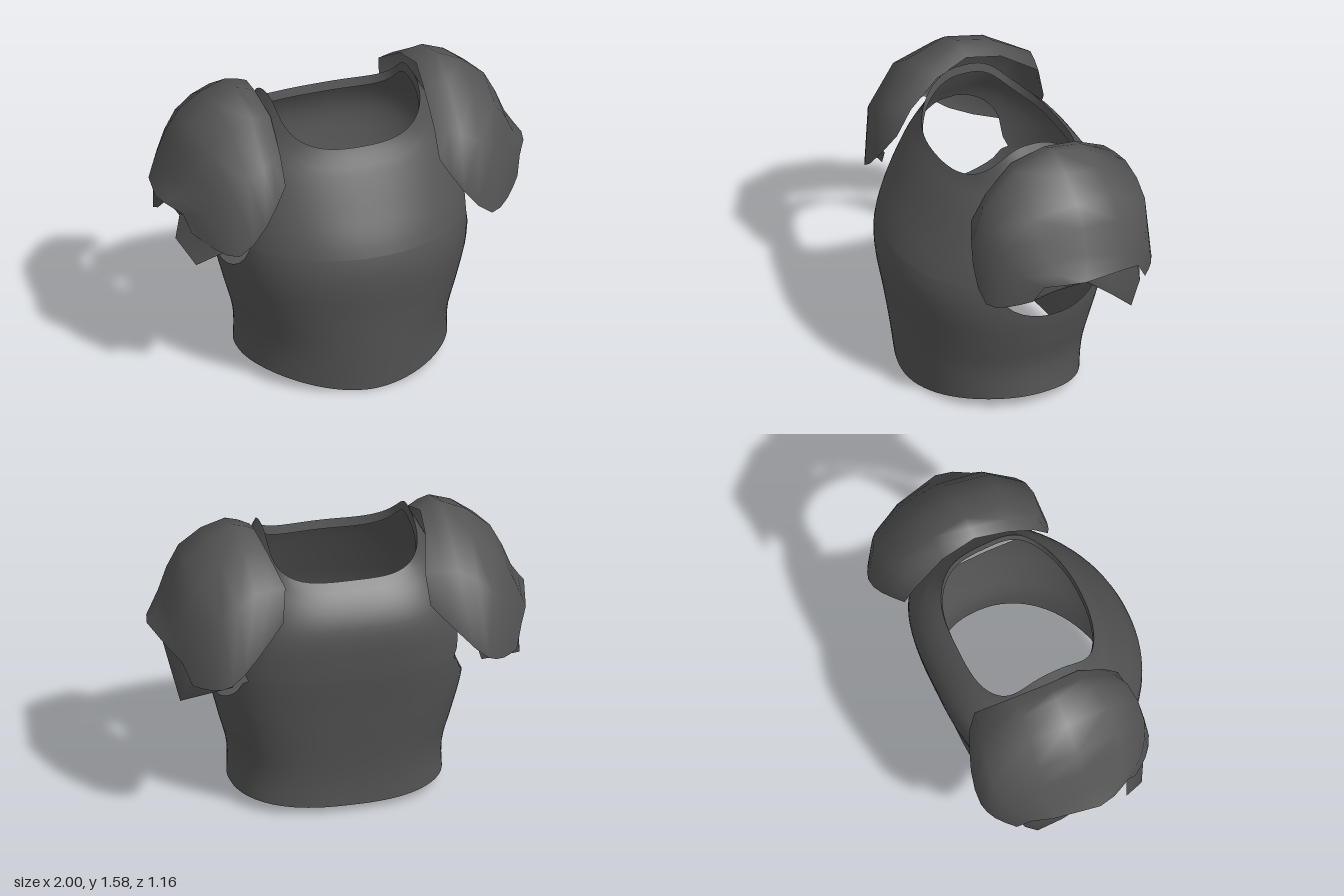
import * as THREE from 'three';

const steel = new THREE.MeshStandardMaterial({ color: 0x555555, side: THREE.DoubleSide });
steel.name = 'darkSteel';

// Skin between rows of [x, y, z] points
function loft(name, rows) {
  const n = rows[0].length, index = [];
  for (let i = 0; i < rows.length - 1; i++) {
    for (let j = 0; j < n - 1; j++) {
      const a = i * n + j, b = a + 1, c = a + n, d = c + 1;
      index.push(a, b, d, a, d, c);
    }
  }
  const geo = new THREE.BufferGeometry();
  geo.setAttribute('position', new THREE.Float32BufferAttribute(rows.flat(2), 3));
  geo.setIndex(index);
  geo.computeVertexNormals();
  const mesh = new THREE.Mesh(geo, steel);
  mesh.name = name;
  return mesh;
}

// Smooth function through a list of [y, value]
function profile(table) {
  const curve = new THREE.CubicInterpolant(table.map(t => t[0]), table.map(t => t[1]), 1);
  return y => curve.evaluate(y)[0];
}

// Torso by height: half width, front depth, back depth, and corner roundness front and back
const halfWidth = profile([[0, 0.56], [0.25, 0.555], [0.45, 0.605], [0.65, 0.65], [0.95, 0.65], [1.2, 0.58], [1.34, 0.5], [1.45, 0.44], [1.55, 0.385]]);
const frontDepth = profile([[0, 0.495], [0.4, 0.545], [0.75, 0.585], [0.85, 0.56], [1.05, 0.47], [1.25, 0.37], [1.34, 0.32], [1.55, 0.3]]);
const backDepth = profile([[0, 0.375], [0.17, 0.385], [0.6, 0.46], [0.9, 0.515], [1.12, 0.52], [1.28, 0.44], [1.36, 0.37], [1.55, 0.35]]);
const frontCorner = profile([[0, 1.06], [0.4, 0.98], [0.75, 0.97], [1.55, 0.95]]);
const backCorner = profile([[0, 0.78], [0.4, 0.74], [0.8, 0.7], [1.55, 0.7]]);

function torsoPoint(a, y) {
  const c = Math.cos(a), s = Math.sin(a), front = s > 0;
  const p = (front ? frontCorner : backCorner)(y);
  const depth = (front ? frontDepth : backDepth)(y);
  const x = Math.sign(c) * Math.abs(c) ** p * halfWidth(y);
  return [x, y, Math.sign(s) * Math.abs(s) ** p * depth];
}

const armholeY = 0.82;
const hem = a => 0.08 - 0.075 * Math.max(0, Math.sin(a)) ** 3 - 0.04 * Math.max(0, -Math.sin(a)) ** 2;
const neck = a => 1.34 + 0.2 * Math.abs(Math.cos(a)) ** 3.2;
// How far the armhole is open at this angle, 0 to 1
function opening(a) {
  const z = torsoPoint(a, armholeY)[2];
  return Math.sqrt(Math.max(0, 1 - ((z + 0.05) / 0.3) ** 2));
}

function torsoShell(name, bottom, top, steps) {
  const rows = [];
  for (let i = 0; i <= steps; i++) {
    const row = [];
    for (let j = 0; j <= 80; j++) {
      const a = j / 80 * Math.PI * 2, t = i / steps;
      row.push(torsoPoint(a, bottom(a) * (1 - t) + top(a) * t));
    }
    rows.push(row);
  }
  return loft(name, rows);
}

// Shoulder plate sections from the front edge over the top to the back edge
const shoulderSections = [
  [[0.42, 1.19, 0.33], [0.54, 1.0, 0.38], [0.69, 0.85, 0.38], [0.8, 0.88, 0.31], [0.89, 0.94, 0.21]],
  [[0.42, 1.33, 0.25], [0.54, 1.31, 0.33], [0.72, 1.2, 0.34], [0.84, 1.08, 0.27], [0.92, 1.03, 0.16]],
  [[0.42, 1.48, 0.1], [0.54, 1.51, 0.14], [0.78, 1.37, 0.17], [0.9, 1.15, 0.12], [0.98, 1.05, 0.05]],
  [[0.44, 1.54, -0.08], [0.55, 1.58, -0.08], [0.81, 1.41, -0.08], [0.92, 1.17, -0.08], [1, 1.05, -0.04]],
  [[0.42, 1.5, -0.27], [0.54, 1.53, -0.27], [0.78, 1.38, -0.3], [0.9, 1.15, -0.3], [0.95, 1.02, -0.28]],
  [[0.37, 1.38, -0.46], [0.54, 1.38, -0.5], [0.72, 1.25, -0.52], [0.84, 1.07, -0.46], [0.9, 0.98, -0.39]],
  [[0.39, 1.2, -0.5], [0.54, 1.04, -0.56], [0.68, 0.9, -0.57], [0.77, 0.87, -0.53], [0.86, 0.87, -0.45]],
];

// Lower arm plate: wraps the outside and the back, with a rear point at tailY
const armPlate = tailY => [
  [[0.84, 1.0, 0.24], [0.92, 1.07, 0.1], [0.94, 1.09, -0.08], [0.92, 1.06, -0.26], [0.86, 1.0, -0.4], [0.64, 1.0, -0.52]],
  [[0.86, 0.93, 0.22], [0.92, 1.0, 0.1], [0.94, 1.01, -0.08], [0.92, 0.94, -0.22], [0.88, 0.87, -0.41], [0.64, 0.92, -0.52]],
  [[0.85, 0.91, 0.2], [0.91, 0.98, 0.1], [0.92, 0.99, -0.08], [0.92, 0.87, -0.22], [0.9, tailY, -0.35], [0.66, 0.86, -0.5]],
];

// Extra hanging plate at the front of the right arm
const frontTail = [
  [[0.58, 0.98, 0.32], [0.8, 0.95, 0.3], [0.93, 1.03, 0.14]],
  [[0.61, 0.9, 0.32], [0.88, 0.77, 0.25], [0.95, 0.88, 0.13]],
];

// Round off the sections by passing curves along them
function smooth(rows, n) {
  return rows.map(row => new THREE.CatmullRomCurve3(row.map(p => new THREE.Vector3(...p)))
    .getPoints(n).map(p => p.toArray()));
}

export function createModel() {
  const model = new THREE.Group();
  model.name = 'cuirass';

  // Body: lower shell up to the armholes, upper shell to the neckline
  model.add(torsoShell('lowerTorso', hem, a => armholeY - 0.19 * opening(a), 14));
  model.add(torsoShell('upperTorso', a => armholeY + 0.4 * opening(a), neck, 12));

  // Folded rim inside the neckline
  const rim = [0, 1].map(k => Array.from({ length: 81 }, (_, j) => {
    const a = j / 80 * Math.PI * 2, [x, y, z] = torsoPoint(a, neck(a));
    return [x * (1 - 0.02 * k), y - 0.05 * k, z * (1 - 0.02 * k)];
  }));
  model.add(loft('neckRim', rim));

  // Shoulder armour on both sides
  for (const side of [1, -1]) {
    const arm = new THREE.Group();
    arm.name = side > 0 ? 'leftShoulder' : 'rightShoulder';
    const mirror = rows => rows.map(row => row.map(([x, y, z]) => [x * side, y, z]));
    arm.add(loft('shoulderPlate', smooth(mirror(shoulderSections), 8)));
    arm.add(loft('armPlate', mirror(armPlate(side > 0 ? 0.74 : 0.8))));
    if (side < 0) arm.add(loft('frontTail', mirror(frontTail)));
    model.add(arm);
  }
  return model;
}
